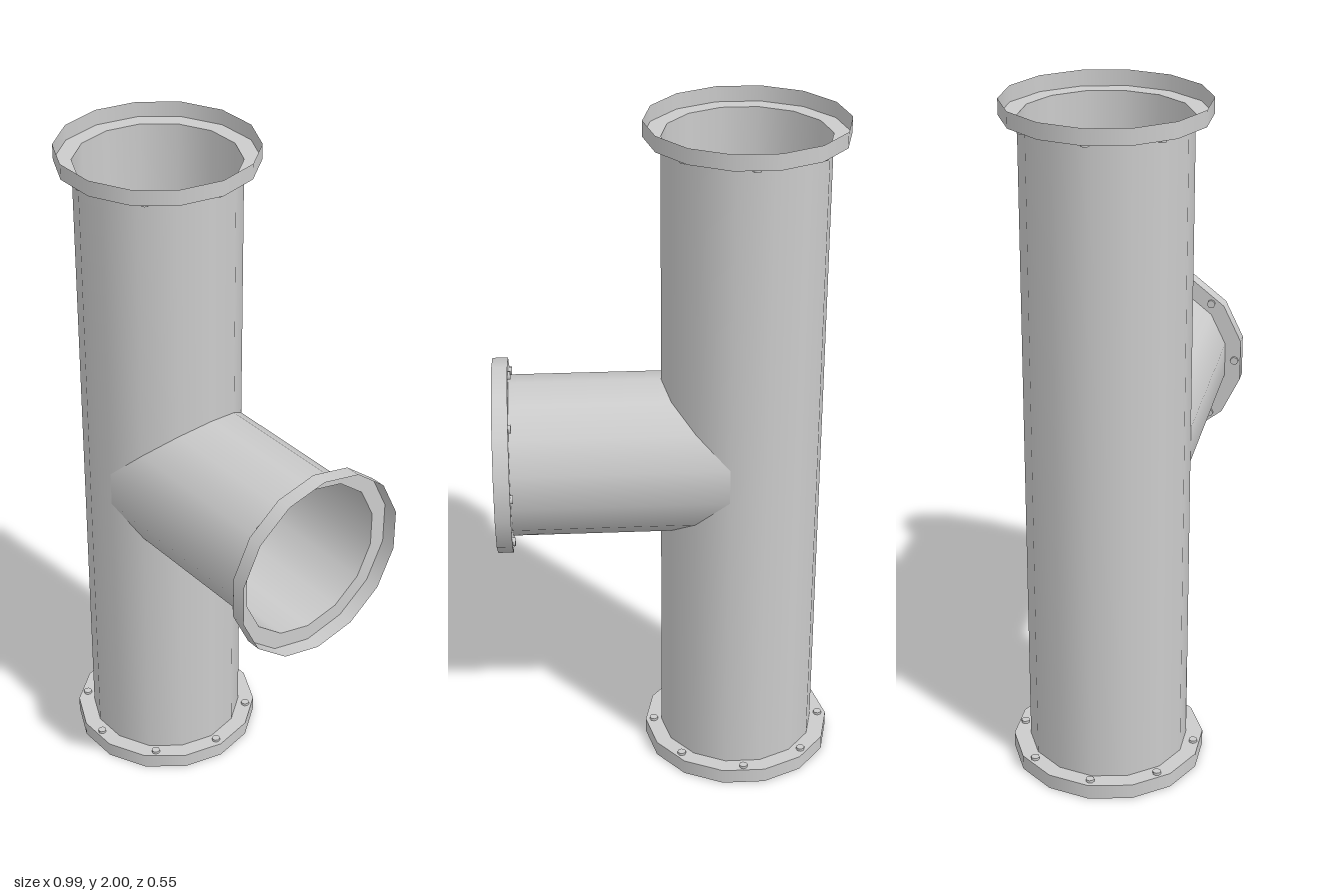
import * as THREE from 'three';

const SIDES = 14;
const R = 0.233;          // pipe radius
const RIM = 0.282;        // flange radius
const LIP = 0.045;        // flange depth
const AXIS = -0.215;      // x of the main pipe
const END = 0.497;        // open end of the branch
const material = new THREE.MeshStandardMaterial({ color: 0xcccccc, side: THREE.DoubleSide });

// Pipe wall round the y axis; spans(x0, x1) lists [low0, high0, low1, high1] for each side
function pipeWall(name, spans) {
  const pos = [], nor = [], idx = [];
  for (let i = 0; i < SIDES; i++) {
    const a = (i / SIDES) * Math.PI * 2, b = ((i + 1) / SIDES) * Math.PI * 2;
    for (const [l0, h0, l1, h1] of spans(R * Math.cos(a), R * Math.cos(b))) {
      const n = pos.length / 3;
      for (const [t, y] of [[a, l0], [a, h0], [b, h1], [b, l1]]) {
        pos.push(R * Math.cos(t), y, R * Math.sin(t));
        nor.push(Math.cos(t), 0, Math.sin(t));
      }
      idx.push(n, n + 1, n + 2, n, n + 2, n + 3);
    }
  }
  const g = new THREE.BufferGeometry();
  g.setAttribute('position', new THREE.Float32BufferAttribute(pos, 3));
  g.setAttribute('normal', new THREE.Float32BufferAttribute(nor, 3));
  g.setIndex(idx);
  const mesh = new THREE.Mesh(g, material);
  mesh.name = name;
  return mesh;
}

// Open collar: back plate at y = 0, rim wall above it, bolt heads below it
function flange(name) {
  const group = new THREE.Group();
  group.name = name;
  const add = (partName, geometry) => {
    const mesh = new THREE.Mesh(geometry, material);
    mesh.name = partName;
    group.add(mesh);
    return mesh;
  };
  add('flangeRim', new THREE.CylinderGeometry(RIM, RIM, LIP, SIDES, 1, true, Math.PI / 2)
    .translate(0, LIP / 2, 0));
  add('flangePlate', new THREE.RingGeometry(R, RIM, SIDES).rotateX(-Math.PI / 2));
  const boltGeometry = new THREE.CylinderGeometry(0.0125, 0.0125, 0.008, 8);
  for (let i = 0; i < 8; i++) {
    const a = (i / 8) * Math.PI * 2;
    add('bolt', boltGeometry).position.set(0.257 * Math.cos(a), -0.004, 0.257 * Math.sin(a));
  }
  return group;
}

export function createModel() {
  const model = new THREE.Group();
  model.name = 'pipeTee';

  // Main pipe, with a mitred opening on the +x half
  const low = LIP, high = 2 - LIP, eps = 1e-6;
  const main = pipeWall('mainPipe', (x0, x1) => (x0 > eps && x1 > eps)
    ? [[low, 1 - x0, low, 1 - x1], [1 + x0, high, 1 + x1, high]]
    : [[low, high, low, high]]);
  main.position.x = AXIS;
  model.add(main);

  // Branch pipe, cut at 45 degrees to fit the opening
  const length = END - LIP - AXIS;
  const branch = pipeWall('branchPipe', (x0, x1) => [[Math.abs(x0), length, Math.abs(x1), length]]);
  branch.rotation.z = -Math.PI / 2;
  branch.position.set(AXIS, 1, 0);
  model.add(branch);

  // Flanges on the three ends
  const top = flange('topFlange');
  top.position.set(AXIS, high, 0);
  const bottom = flange('bottomFlange');
  bottom.rotation.x = Math.PI;
  bottom.position.set(AXIS, low, 0);
  const side = flange('branchFlange');
  side.rotation.z = -Math.PI / 2;
  side.position.set(END - LIP, 1, 0);
  model.add(top, bottom, side);
  return model;
}
